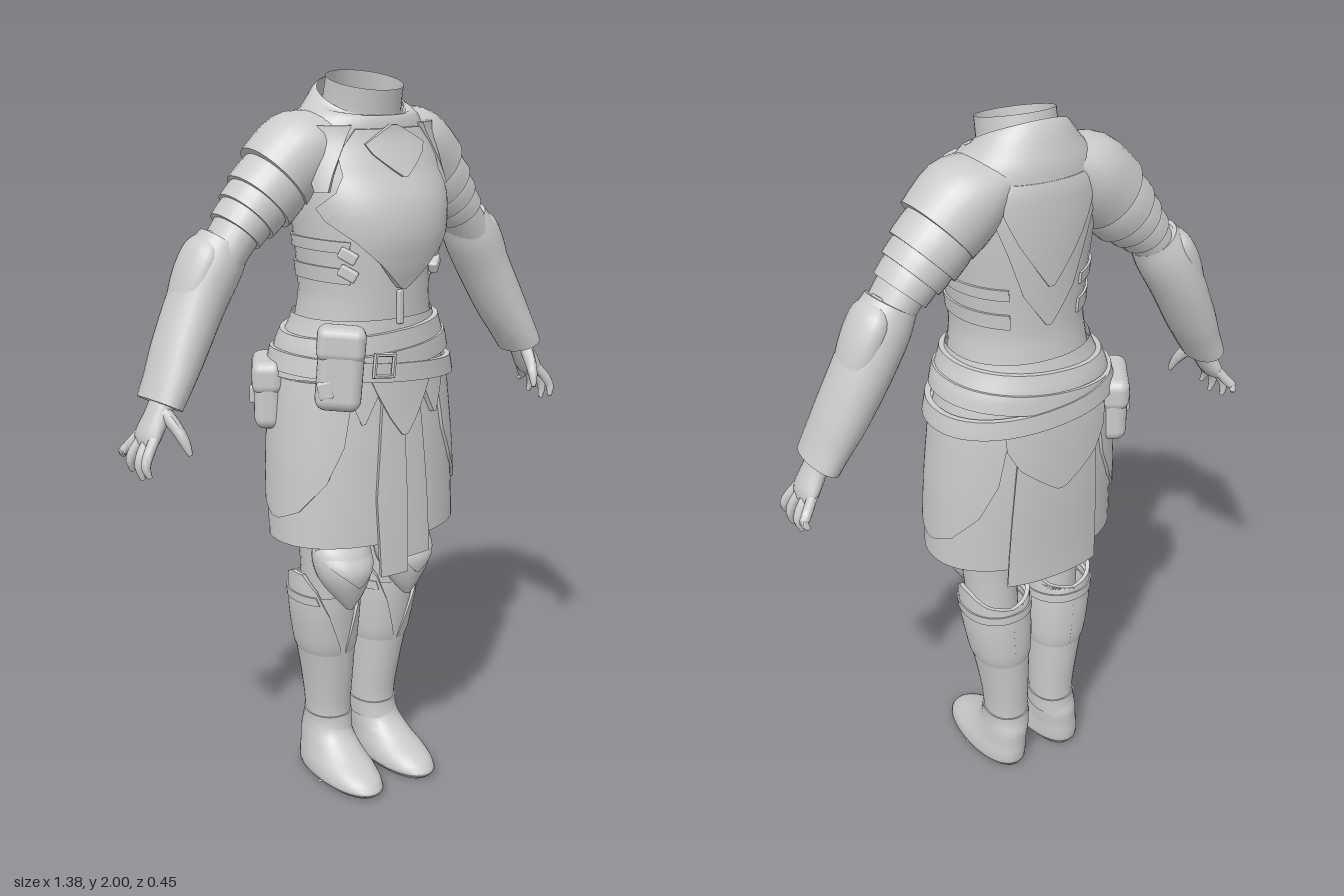
import * as THREE from 'three';
import { toCreasedNormals } from 'three/addons/utils/BufferGeometryUtils.js';
import { RoundedBoxGeometry } from 'three/addons/geometries/RoundedBoxGeometry.js';

const steel = new THREE.MeshStandardMaterial({ color: 0xcacaca, side: THREE.DoubleSide });
steel.name = 'plain grey';
const PI = Math.PI;

// Smooth interpolation through a list of equal-length rows, t in index units
function sample(rows, t) {
  const n = rows.length - 1, i = Math.max(0, Math.min(n - 1, Math.floor(t))), f = t - i;
  const r = k => rows[Math.max(0, Math.min(n, k))];
  return rows[i].map((_, c) => {
    const a = r(i - 1)[c], b = r(i)[c], d = r(i + 1)[c], e = r(i + 2)[c];
    return b + 0.5 * f * (d - a + f * (2 * a - 5 * b + 4 * d - e + f * (3 * (b - d) + e - a)));
  });
}

// Grid surface from point function f(u, v)
function grid(us, vs, f, crease = 0.7) {
  const pos = [], idx = [], w = us.length;
  vs.forEach(v => us.forEach(u => pos.push(...f(u, v))));
  for (let j = 0; j < vs.length - 1; j++) for (let i = 0; i < w - 1; i++) {
    const a = j * w + i, d = a + w;
    idx.push(a, a + 1, d + 1, a, d + 1, d);
  }
  const g = new THREE.BufferGeometry();
  g.setAttribute('position', new THREE.Float32BufferAttribute(pos, 3));
  g.setIndex(idx);
  return toCreasedNormals(g, crease);
}
const steps = (n, max = 1) => Array.from({ length: n + 1 }, (_, i) => i / n * max);

// Tube through sections [x, y, z, radius across, radius in depth]
function loft(secs, { n = 24, caps = true, sub = 4 } = {}) {
  const last = secs.length - 1, vs = steps(last * sub, last).map(t => ({ t, k: 1 }));
  if (caps) { vs.unshift({ t: 0, k: 0 }); vs.push({ t: last, k: 0 }); }
  const at = t => new THREE.Vector3(...sample(secs, t).slice(0, 3));
  return grid(steps(n, 2 * PI), vs, (th, { t, k }) => {
    const s = sample(secs, t), p = at(t);
    const d = at(Math.min(last, t + 0.2)).sub(at(Math.max(0, t - 0.2))).normalize();
    const u = d.clone().cross(new THREE.Vector3(0, 0, 1)).normalize(), w = u.clone().cross(d);
    return p.addScaledVector(u, k * s[3] * Math.sin(th)).addScaledVector(w, k * s[4] * Math.cos(th)).toArray();
  });
}

// Point on an upright profile of rows [y, half width, front z, back z, centre x]; angle 0 is the front
function onBody(prof, y, th, off) {
  let i = 0;
  while (i < prof.length - 2 && y > prof[i + 1][0]) i++;
  const t = i + Math.min(1, Math.max(0, (y - prof[i][0]) / (prof[i + 1][0] - prof[i][0])));
  const [, rx, zf, zb, cx = 0] = sample(prof, t), e = 0.93;
  const pw = v => Math.sign(v) * Math.abs(v) ** e;
  return [cx + (rx + off) * pw(Math.sin(th)), y, (zf + zb) / 2 + ((zf - zb) / 2 + off) * pw(Math.cos(th))];
}
// Whole upright body
function body(prof, n = 40) {
  const ys = [];
  prof.forEach((r, i) => { if (i) for (let k = 0; k < 4; k++) ys.push(prof[i - 1][0] + (r[0] - prof[i - 1][0]) * k / 4); });
  ys.push(prof.at(-1)[0]);
  return grid(steps(n, 2 * PI), ys, (th, y) => onBody(prof, y, th, 0));
}
// Raised plate with a rim; rows [y, start angle, end angle, extra height], lowest first; tilt leans it sideways
function plate(prof, rows, off = 0.012, { n = 16, tilt = 0, deep = 0.016 } = {}) {
  const last = rows.length - 1;
  const rim = list => [{ t: list[0], r: 1 }, ...list.map(t => ({ t, r: 0 })), { t: list.at(-1), r: 1 }];
  return grid(rim(steps(n)), rim(steps(last * 4, last)), (u, v) => {
    const i = Math.min(last - 1, Math.floor(v.t)), f = v.t - i;
    const [y, a, b, o = 0] = rows[i].map((q, c) => q + (rows[i + 1][c] - q) * f);
    const th = a + (b - a) * u.t;
    return onBody(prof, y + tilt * Math.sin(th), th, off + o - (u.r || v.r ? deep : 0));
  }, 0.5);
}
// Symmetric plate rows [y, half angle] around a middle angle
const around = (mid, rows) => rows.map(([y, h]) => [y, mid - h, mid + h]);

// Mirror an unindexed geometry across x and restore its winding
function mirrored(g) {
  const m = g.clone();
  for (const name of ['position', 'normal']) {
    const a = m.attributes[name].array;
    for (let i = 0; i < a.length; i += 9) for (let c = 0; c < 3; c++) {
      const s = c ? 1 : -1, q = a[i + c];
      a[i + c] = s * a[i + 6 + c]; a[i + 6 + c] = s * q; a[i + 3 + c] *= s;
    }
  }
  return m;
}

const TORSO = [[1.3, 0.198, 0.17, -0.165], [1.37, 0.188, 0.17, -0.15], [1.45, 0.18, 0.172, -0.14], [1.6, 0.195, 0.175, -0.145],
  [1.7, 0.205, 0.165, -0.15], [1.78, 0.205, 0.14, -0.15], [1.84, 0.185, 0.12, -0.145], [1.89, 0.13, 0.11, -0.125]];
const CHEST = [[1.44, 0.185, 0.18, -0.14], [1.52, 0.19, 0.204, -0.145], [1.6, 0.195, 0.218, -0.145], [1.68, 0.205, 0.206, -0.15],
  [1.76, 0.205, 0.165, -0.15], [1.86, 0.19, 0.125, -0.135]];
const SKIRT = [[0.66, 0.285, 0.2, -0.185], [0.77, 0.28, 0.198, -0.185], [1.0, 0.27, 0.19, -0.195], [1.2, 0.25, 0.18, -0.195],
  [1.3, 0.225, 0.178, -0.185], [1.38, 0.195, 0.174, -0.16]];
const BOOT = [[0.1, 0.062, 0.03, -0.135, 0.083], [0.18, 0.062, 0.017, -0.126, 0.08], [0.3, 0.07, 0.032, -0.132, 0.085],
  [0.45, 0.086, 0.052, -0.137, 0.096], [0.58, 0.091, 0.066, -0.132, 0.103], [0.64, 0.09, 0.066, -0.128, 0.104]];
const FOOT = [[0, 0.066, 0.19, -0.13, 0.093], [0.015, 0.08, 0.205, -0.14, 0.094], [0.045, 0.079, 0.175, -0.142, 0.093],
  [0.08, 0.071, 0.1, -0.14, 0.09], [0.12, 0.066, 0.04, -0.14, 0.086], [0.16, 0.064, 0.02, -0.13, 0.083]];
const KNEE = [[0.61, 0.07, 0.125, -0.09, 0.1], [0.68, 0.085, 0.137, -0.09, 0.104], [0.76, 0.085, 0.085, -0.09, 0.106]];

export function createModel() {
  const root = new THREE.Group();
  root.name = 'headlessArmour';
  const add = (name, g, [x, y, z, a = 0, b = 0, c = 0] = [0, 0, 0]) => {
    const m = new THREE.Mesh(g, steel);
    m.name = name;
    m.position.set(x, y, z);
    m.rotation.set(a, b, c);
    root.add(m);
  };
  const pair = (name, g) => { add(name + 'Left', g); add(name + 'Right', mirrored(g)); };
  const box = (w, h, d, r = 0.01) => new RoundedBoxGeometry(w, h, d, 3, r);

  // Torso and neck
  add('torso', body(TORSO));
  add('neckCollar', loft([[0, 1.85, -0.01, 0.12, 0.112], [0, 1.91, 0.005, 0.104, 0.104], [0, 1.975, 0.02, 0.102, 0.1]], { n: 36, caps: false }));
  add('neckFloor', new THREE.CircleGeometry(0.108, 36), [0, 1.875, -0.004, -PI / 2]);
  add('gorget', loft([[0, 1.8, -0.015, 0.215, 0.14], [0, 1.87, -0.012, 0.185, 0.138], [0, 1.915, -0.008, 0.145, 0.124], [0, 1.935, 0, 0.118, 0.11]], { n: 36, caps: false }));

  // Breastplate, throat plate, lapels and back plates
  add('breastplate', plate(CHEST, around(0, [[1.46, 0.03], [1.53, 0.38], [1.59, 0.75], [1.64, 1.15], [1.67, 1.25], [1.71, 0.9], [1.75, 0.75], [1.8, 0.78], [1.86, 0.5]]), 0.012, { n: 24, deep: 0.03 }));
  add('throatPlate', plate(CHEST, around(0, [[1.745, 0.02], [1.8, 0.32], [1.825, 0.4], [1.87, 0.03]]), 0.026));
  pair('chestLapel', plate(CHEST, [[1.71, 1.0, 1.2], [1.78, 0.8, 1.25], [1.87, 0.55, 1.2]], 0.016));
  add('backPlate', plate(TORSO, around(PI, [[1.47, 0.03], [1.56, 0.35], [1.68, 0.55], [1.8, 0.8], [1.85, 0.7]]), 0.006));
  add('backUpperPlate', plate(TORSO, around(PI, [[1.58, 0.03], [1.7, 0.4], [1.78, 0.6], [1.85, 0.6]]), 0.012));
  pair('ribStrap', plate(TORSO, [[1.46, 0.75, 2.6], [1.5, 0.7, 2.6]], 0.006, { tilt: 0.02 }));
  pair('ribStrapUpper', plate(TORSO, [[1.54, 0.75, 2.6], [1.57, 0.7, 2.6]], 0.006, { tilt: 0.02 }));
  for (const s of [1, -1]) for (const y of [1.505, 1.55])
    add('ribBuckle', box(0.05, 0.03, 0.025, 0.006), [s * 0.14, y, 0.142, 0, s * 0.7, s * 0.5]);
  add('frontTab', box(0.018, 0.09, 0.014, 0.005), [0, 1.41, 0.178]);

  // Skirt, side tassets and hanging cloths
  add('skirt', body(SKIRT.slice(1), 48));
  for (const s of [1, -1])
    add('sideTasset', plate(SKIRT, around(s * PI / 2, [[0.84, 0.06], [0.87, 0.4], [0.95, 0.75], [1.05, 0.95], [1.22, 1.05]]), 0.008, { n: 24 }));
  add('frontClothRight', plate(SKIRT, [[0.68, -0.24, 0.02], [0.9, -0.28, 0.02], [1.22, -0.2, 0]], 0.014));
  add('frontClothLeft', plate(SKIRT, [[0.72, 0.02, 0.29], [0.9, 0.02, 0.27], [1.22, 0, 0.2]], 0.009));
  add('frontScallop', plate(SKIRT, around(0, [[1.07, 0.02], [1.12, 0.14], [1.15, 0.2], [1.25, 0.4]]), 0.02));
  for (const s of [1, -1])
    add('hipPoint', plate(SKIRT, around(s * 0.42, [[1.11, 0.02], [1.18, 0.15], [1.24, 0.25]]), 0.014));
  add('backCloth', plate(SKIRT, around(PI, [[0.72, 0.48], [0.95, 0.46], [1.22, 0.42]]), 0.012));
  add('backScallop', plate(SKIRT, around(PI, [[1.02, 0.03], [1.1, 0.4], [1.16, 0.55], [1.24, 0.6]]), 0.02));

  // Belts and buckle
  const ring = (y, h) => [[y, 0, 2 * PI], [y + h / 2, 0, 2 * PI], [y + h, 0, 2 * PI]];
  add('waistSash', plate(SKIRT, ring(1.3, 0.05), 0.014, { n: 48, tilt: 0.018 }));
  add('crossBelt', plate(SKIRT, ring(1.25, 0.05), 0.02, { n: 48, tilt: 0.025 }));
  add('lowBelt', plate(SKIRT, ring(1.215, 0.05), 0.024, { n: 48, tilt: -0.025 }));
  const frame = new THREE.TorusGeometry(0.04, 0.008, 6, 4);
  frame.rotateZ(PI / 4);
  add('beltBuckle', toCreasedNormals(frame, 0.7), [-0.075, 1.27, 0.212, 0, -0.1, -0.1]);

  // Pouches with flaps
  add('frontPouch', box(0.12, 0.22, 0.08, 0.03), [-0.185, 1.27, 0.17, 0, -0.6, -0.08]);
  add('frontPouchFlap', box(0.126, 0.09, 0.088, 0.025), [-0.182, 1.335, 0.171, 0, -0.6, -0.08]);
  add('pouchBuckle', box(0.04, 0.05, 0.03, 0.008), [-0.23, 1.22, 0.17, 0, -0.7, 0.2]);
  add('sidePouch', box(0.075, 0.18, 0.18, 0.03), [-0.24, 1.165, -0.095, 0, -0.55, 0]);
  add('sidePouchFlap', box(0.085, 0.09, 0.188, 0.028), [-0.24, 1.215, -0.095, 0, -0.55, 0]);
  add('sidePouchClasp', box(0.015, 0.045, 0.03, 0.005), [-0.276, 1.155, -0.117, 0, -0.55, 0]);

  // Legs, knee guards and boots
  pair('thigh', loft([[0.1, 0.52, -0.02, 0.072, 0.075], [0.105, 0.7, -0.01, 0.08, 0.082], [0.11, 0.85, -0.01, 0.09, 0.095], [0.105, 1.02, 0, 0.098, 0.115]]));
  pair('kneeGuard', loft([[0.1, 0.55, 0.085, 0.008, 0.015], [0.1, 0.6, 0.08, 0.048, 0.048], [0.103, 0.66, 0.07, 0.08, 0.074],
    [0.105, 0.72, 0.052, 0.088, 0.065], [0.105, 0.755, 0.045, 0.07, 0.045]]));
  pair('kneeUpperPlate', plate(KNEE, around(0, [[0.63, 0.04], [0.69, 0.75], [0.735, 1.1], [0.755, 0.4]]), 0.011, { deep: 0.03 }));
  pair('bootShaft', body(BOOT.slice(0, 5), 32));
  const wing = [[0.36, 0.04, 3.16, -0.014], [0.41, 0.1, 3.16, -0.004], [0.52, 0.45, 3.16, 0], [0.6, 0.85, 3.16, 0], [0.615, 1.0, 2.4, 0], [0.645, 1.3, 1.75, 0]];
  pair('outerGreave', plate(BOOT, wing, 0.008, { n: 24, deep: 0.012 }));
  pair('innerGreave', plate(BOOT, wing.map(([y, a, b, o]) => [y, 2 * PI - b, 2 * PI - a, o]), 0.008, { n: 24, deep: 0.012 }));
  pair('ankleBand', plate(BOOT, ring(0.13, 0.05), 0.004, { n: 32 }));
  pair('calfBand', plate(BOOT, [[0.56, 0.75, 2 * PI - 0.75], [0.585, 0.85, 2 * PI - 0.85]], 0.012, { n: 32 }));
  pair('foot', body(FOOT, 32));
  pair('sole', plate(FOOT, ring(0, 0.014), 0.002, { n: 32, deep: 0.15 }));

  // Arms with layered shoulder plates
  pair('sleeve', loft([[0.31, 1.665, -0.036, 0.065, 0.078], [0.36, 1.61, -0.038, 0.06, 0.075], [0.43, 1.515, -0.042, 0.058, 0.07]]));
  const shells = [
    [[0.1, 1.85, -0.02, 0.06, 0.11], [0.17, 1.805, -0.025, 0.108, 0.122], [0.25, 1.735, -0.03, 0.108, 0.112]],
    [[0.22, 1.76, -0.03, 0.09, 0.098], [0.26, 1.715, -0.033, 0.097, 0.105], [0.295, 1.68, -0.034, 0.097, 0.101]],
    [[0.27, 1.71, -0.034, 0.08, 0.088], [0.3, 1.675, -0.036, 0.085, 0.095], [0.33, 1.645, -0.037, 0.083, 0.092]],
    [[0.31, 1.67, -0.037, 0.07, 0.08], [0.335, 1.64, -0.038, 0.073, 0.086], [0.362, 1.61, -0.039, 0.071, 0.084]]];
  shells.forEach((s, i) => pair('shoulderPlate' + (i + 1), loft(s, { n: 28 })));
  pair('bracer', loft([[0.39, 1.585, -0.045, 0.068, 0.07], [0.425, 1.53, -0.048, 0.077, 0.083], [0.475, 1.44, -0.05, 0.073, 0.087],
    [0.535, 1.325, -0.04, 0.066, 0.087], [0.572, 1.255, -0.03, 0.057, 0.085], [0.602, 1.2, -0.025, 0.05, 0.084]], { n: 28 }));
  pair('elbowGuard', loft([[0.425, 1.615, -0.05, 0.006, 0.02], [0.445, 1.575, -0.052, 0.04, 0.068], [0.478, 1.505, -0.053, 0.048, 0.074],
    [0.515, 1.43, -0.05, 0.035, 0.06], [0.545, 1.37, -0.045, 0.008, 0.03]]));

  // Hands with fingers and thumb
  pair('palm', loft([[0.585, 1.225, -0.022, 0.03, 0.04], [0.615, 1.17, -0.02, 0.028, 0.045], [0.64, 1.125, -0.022, 0.025, 0.053], [0.65, 1.1, -0.024, 0.016, 0.048]], { n: 18 }));
  const fingers = [[0.016, 0.045, 1.035], [-0.01, 0.005, 1.02], [-0.036, -0.052, 1.03], [-0.06, -0.098, 1.06]];
  fingers.forEach(([z0, z1, tip], i) => pair('finger' + (i + 1), loft([[0.64, 1.125, z0, 0.014, 0.014],
    [0.668, 1.088, (z0 + z1) / 2, 0.014, 0.013], [0.679, (tip + 1.088) / 2, z0 * 0.25 + z1 * 0.75, 0.012, 0.012], [0.672, tip, z1, 0.006, 0.006]], { n: 10, sub: 3 })));
  pair('thumb', loft([[0.605, 1.185, 0.005, 0.018, 0.02], [0.592, 1.15, 0.042, 0.016, 0.018], [0.582, 1.115, 0.066, 0.013, 0.013], [0.575, 1.085, 0.078, 0.006, 0.007]], { n: 10, sub: 3 }));
  return root;
}
